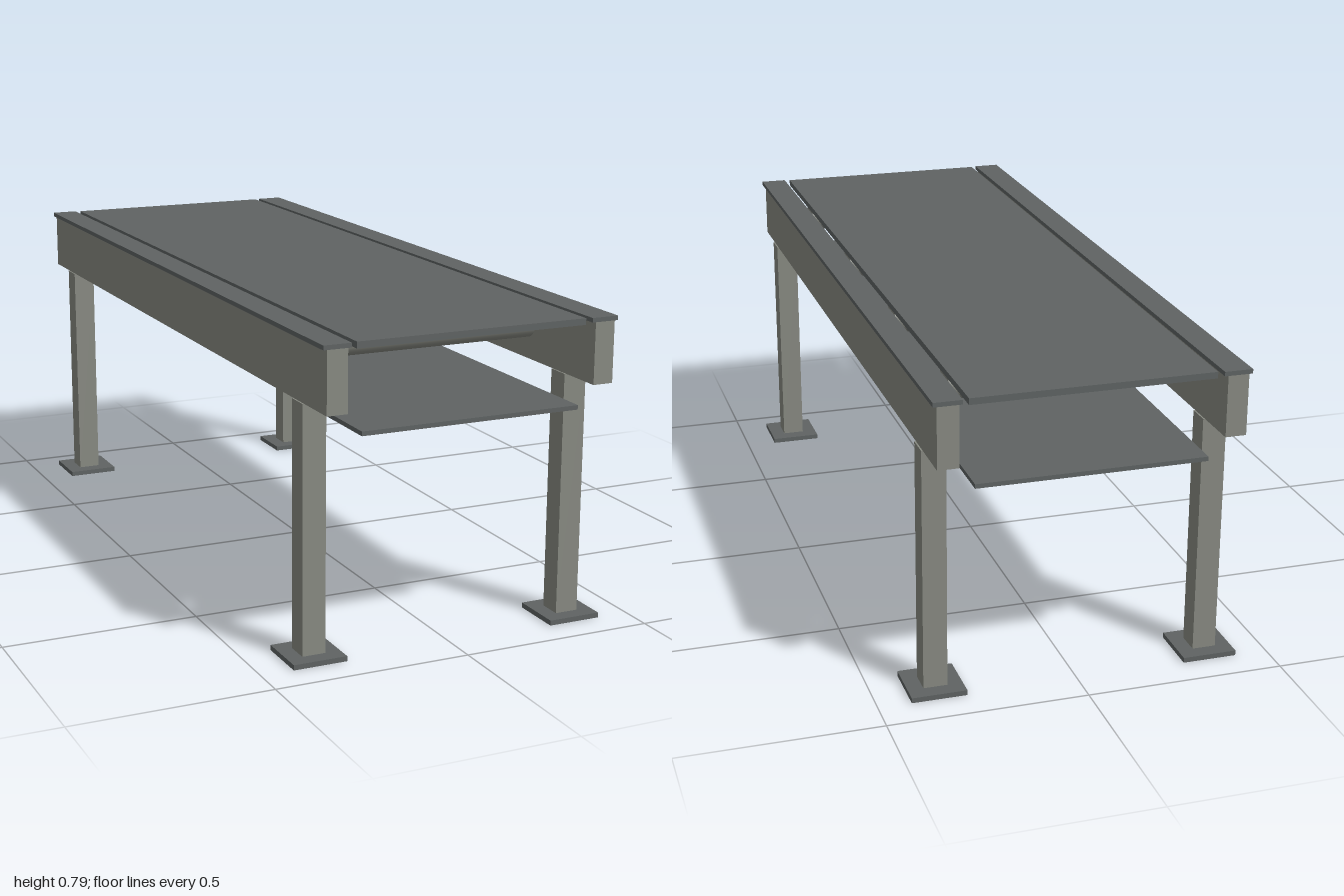
import * as THREE from 'three';

export function createModel() {
  const model = new THREE.Group();
  model.name = 'conveyorTable';

  const steel = new THREE.MeshStandardMaterial({ color: 0x888a82 });
  steel.name = 'light grey steel';
  const dark = new THREE.MeshStandardMaterial({ color: 0x5f6363 });
  dark.name = 'dark grey belt';

  const add = (name, geometry, material, x, y, z) => {
    const mesh = new THREE.Mesh(geometry, material);
    mesh.name = name;
    mesh.position.set(x, y, z);
    model.add(mesh);
    return mesh;
  };
  // box given by its bottom and top heights
  const slab = (name, material, width, bottom, top, depth, x = 0, z = 0) =>
    add(name, new THREE.BoxGeometry(width, top - bottom, depth), material, x, (bottom + top) / 2, z);

  // upper and lower runs of the belt
  slab('upperBelt', dark, 0.596, 0.777, 0.793, 1.99);
  slab('lowerBelt', dark, 0.568, 0.573, 0.584, 1.99);

  // side beams with cap rails, legs and feet
  for (const [side, sx] of [['left', 1], ['right', -1]]) {
    const x = sx * 0.348;
    slab(side + 'Beam', steel, 0.052, 0.63, 0.782, 2, x);
    slab(side + 'CapRail', dark, 0.07, 0.782, 0.793, 2, x);
    for (const [end, sz] of [['Front', 1], ['Back', -1]]) {
      const z = sz * 0.848;
      slab(side + end + 'Leg', steel, 0.06, 0.013, 0.63, 0.06, x, z);
      slab(side + end + 'Foot', dark, 0.138, 0, 0.013, 0.138, x, z);
    }
  }

  // carrying rollers under the upper belt
  const rollerGeometry = new THREE.CylinderGeometry(0.04, 0.04, 0.572, 32);
  rollerGeometry.rotateZ(Math.PI / 2);
  for (const z of [-0.75, -0.25, 0.25, 0.75]) add('roller', rollerGeometry, steel, 0, 0.74, z);

  return model;
}
